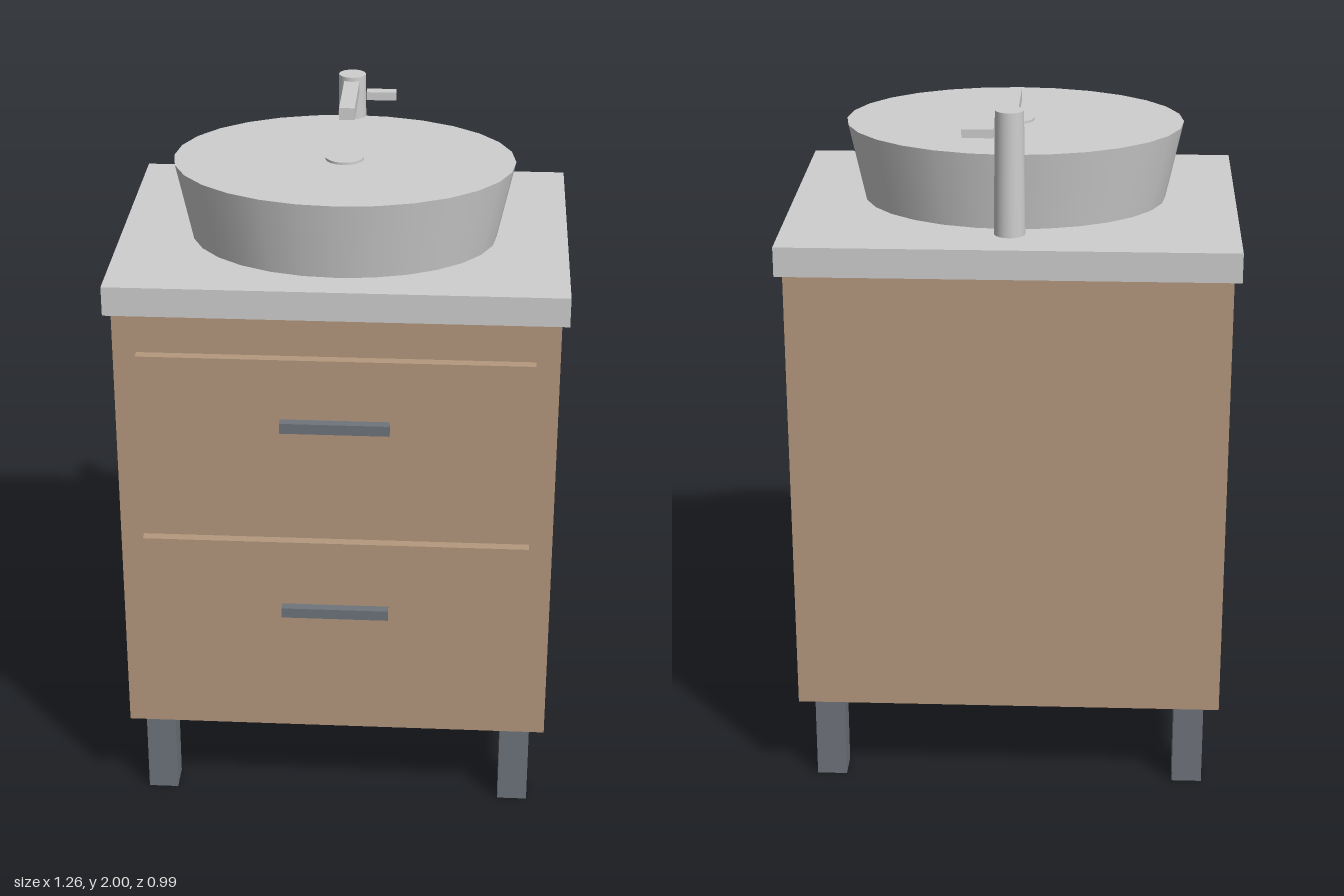
import * as THREE from 'three';

export function createModel() {
  const root = new THREE.Group();
  root.name = 'washbasinCabinet';

  const material = (name, color) => {
    const m = new THREE.MeshStandardMaterial({ color });
    m.name = name;
    return m;
  };
  const wood = material('wood', 0xb5997e);
  const ceramic = material('ceramic', 0xcfcfcf);
  const darkMetal = material('darkMetal', 0x6f757c);

  const add = (name, geometry, mat, x, y, z) => {
    const mesh = new THREE.Mesh(geometry, mat);
    mesh.name = name;
    mesh.position.set(x, y, z);
    root.add(mesh);
    return mesh;
  };
  // Box given by its lower and upper limits on each axis
  const box = (name, mat, [x0, x1], [y0, y1], [z0, z1]) =>
    add(name, new THREE.BoxGeometry(x1 - x0, y1 - y0, z1 - z0), mat,
      (x0 + x1) / 2, (y0 + y1) / 2, (z0 + z1) / 2);

  // Cabinet and countertop
  box('cabinet', wood, [-0.608, 0.608], [0.265, 1.572], [-0.472, 0.438]);
  box('countertop', ceramic, [-0.628, 0.628], [1.572, 1.655], [-0.495, 0.459]);

  // Drawer fronts with bar handles
  const drawers = [
    { name: 'lower', y: [0.375, 0.893], handle: [0.664, 0.694] },
    { name: 'upper', y: [0.985, 1.457], handle: [1.249, 1.279] },
  ];
  for (const d of drawers) {
    box(d.name + 'Drawer', wood, [-0.543, 0.543], d.y, [0.438, 0.467]);
    box(d.name + 'Handle', darkMetal, [-0.151, 0.151], d.handle, [0.467, 0.495]);
  }

  // Four square legs
  for (const [side, x] of [['Left', 0.523], ['Right', -0.523]]) {
    for (const [end, z] of [['front', 0.356], ['back', -0.382]]) {
      add(end + side + 'Leg', new THREE.BoxGeometry(0.086, 0.265, 0.086), darkMetal, x, 0.1325, z);
    }
  }

  // Tapered oval basin with its drain cap
  const basin = add('basin', new THREE.CylinderGeometry(1, 0.9, 0.22, 28), ceramic, 0, 1.765, 0.025);
  basin.scale.set(0.477, 1, 0.369);
  add('drain', new THREE.CylinderGeometry(0.054, 0.054, 0.012, 24), ceramic, 0, 1.876, 0.024);

  // Tap: column, spout and side lever
  add('tapColumn', new THREE.CylinderGeometry(0.039, 0.043, 0.345, 20), ceramic, 0, 1.8275, -0.346);
  box('tapSpout', ceramic, [-0.022, 0.022], [1.953, 1.988], [-0.32, -0.073]);
  box('tapLever', ceramic, [0.042, 0.128], [1.926, 1.95], [-0.364, -0.33]);

  return root;
}
